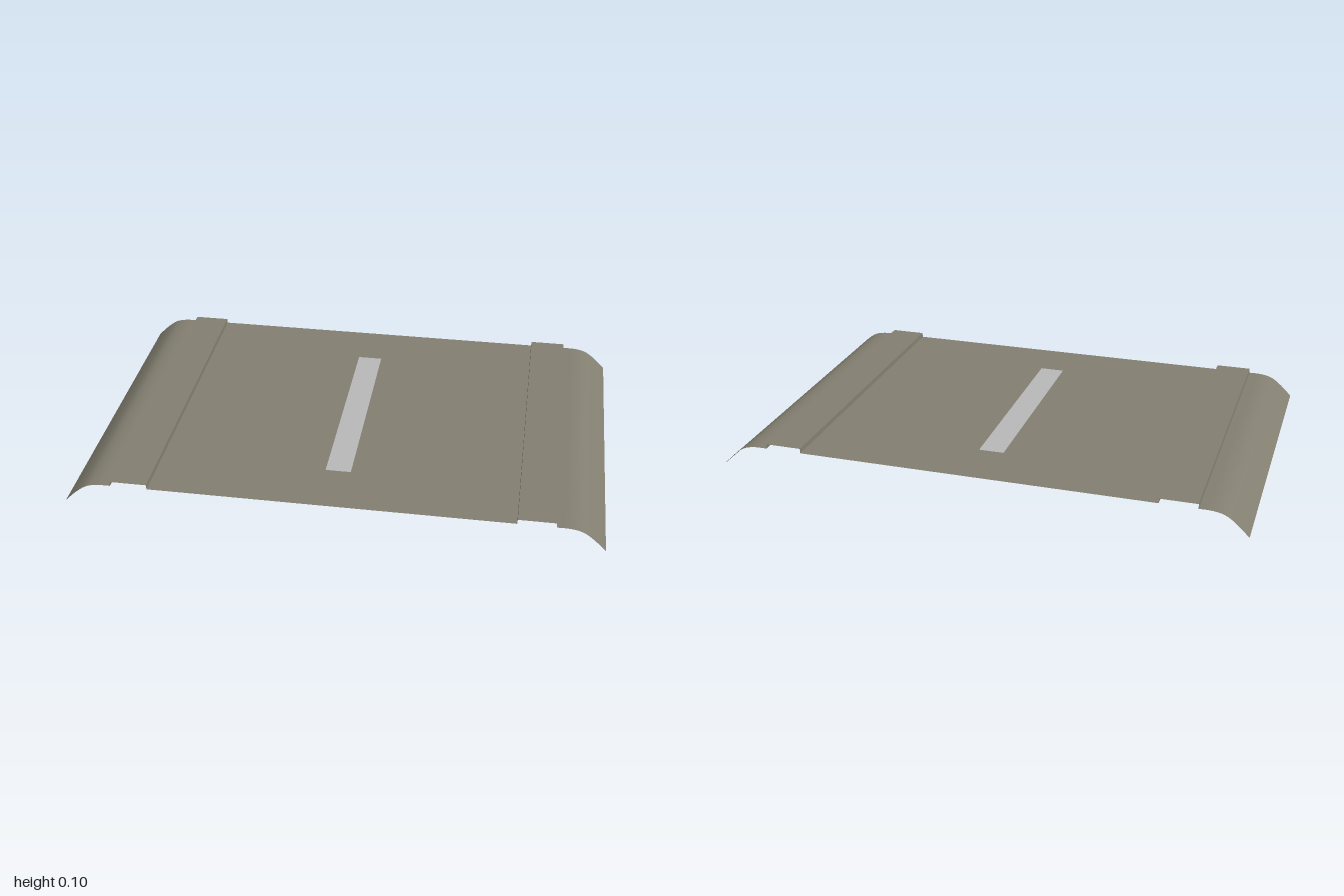
import * as THREE from 'three';

const DEPTH = 1.28;      // length along z
const BASE = 0.085;      // height of the flat sheet
const TOP = 0.103;       // height of the raised ribs

// Upward-facing thin sheet that sweeps a left-to-right (x, y) profile along z
function ribbon(name, profile, depth, material) {
  const n = profile.length - 1;
  const geometry = new THREE.PlaneGeometry(1, depth, n, 1).rotateX(-Math.PI / 2);
  const pos = geometry.attributes.position;
  for (let i = 0; i < pos.count; i++) {
    const [x, y] = profile[i % (n + 1)];
    pos.setXYZ(i, x, y, pos.getZ(i));
  }
  geometry.computeVertexNormals();
  const mesh = new THREE.Mesh(geometry, material);
  mesh.name = name;
  return mesh;
}

export function createModel() {
  const model = new THREE.Group();
  model.name = 'curvedPanel';

  const sheet = new THREE.MeshStandardMaterial({ color: 0x827e70, side: THREE.DoubleSide });
  sheet.name = 'greyOliveSheet';
  const pale = new THREE.MeshStandardMaterial({ color: 0xb8b8b8 });
  pale.name = 'paleGrey';

  // Flat middle and the painted stripe on it
  model.add(ribbon('mainPanel', [[-0.68, BASE], [0.68, BASE]], DEPTH, sheet));
  model.add(ribbon('centreStripe', [[-0.048, BASE + 0.003], [0.048, BASE + 0.003]], 0.845, pale));

  // Rounded lip profile, from the rib out to the edge
  const curve = new THREE.SplineCurve([
    [0.82, BASE], [0.87, 0.084], [0.914, 0.073], [0.955, 0.044], [1, 0],
  ].map(([x, y]) => new THREE.Vector2(x, y)));
  const lip = curve.getPoints(20).map((p) => [p.x, p.y]);

  // Ribs and lips, mirrored on both sides
  const parts = {
    RibInnerRiser: [[0.68, BASE], [0.681, TOP]],
    RibTop: [[0.681, TOP], [0.819, TOP]],
    RibOuterRiser: [[0.819, TOP], [0.82, BASE]],
    CurvedLip: lip,
  };
  for (const [part, profile] of Object.entries(parts)) {
    const mirrored = profile.map(([x, y]) => [-x, y]).reverse();
    model.add(ribbon('left' + part, profile, DEPTH, sheet));
    model.add(ribbon('right' + part, mirrored, DEPTH, sheet));
  }
  return model;
}
